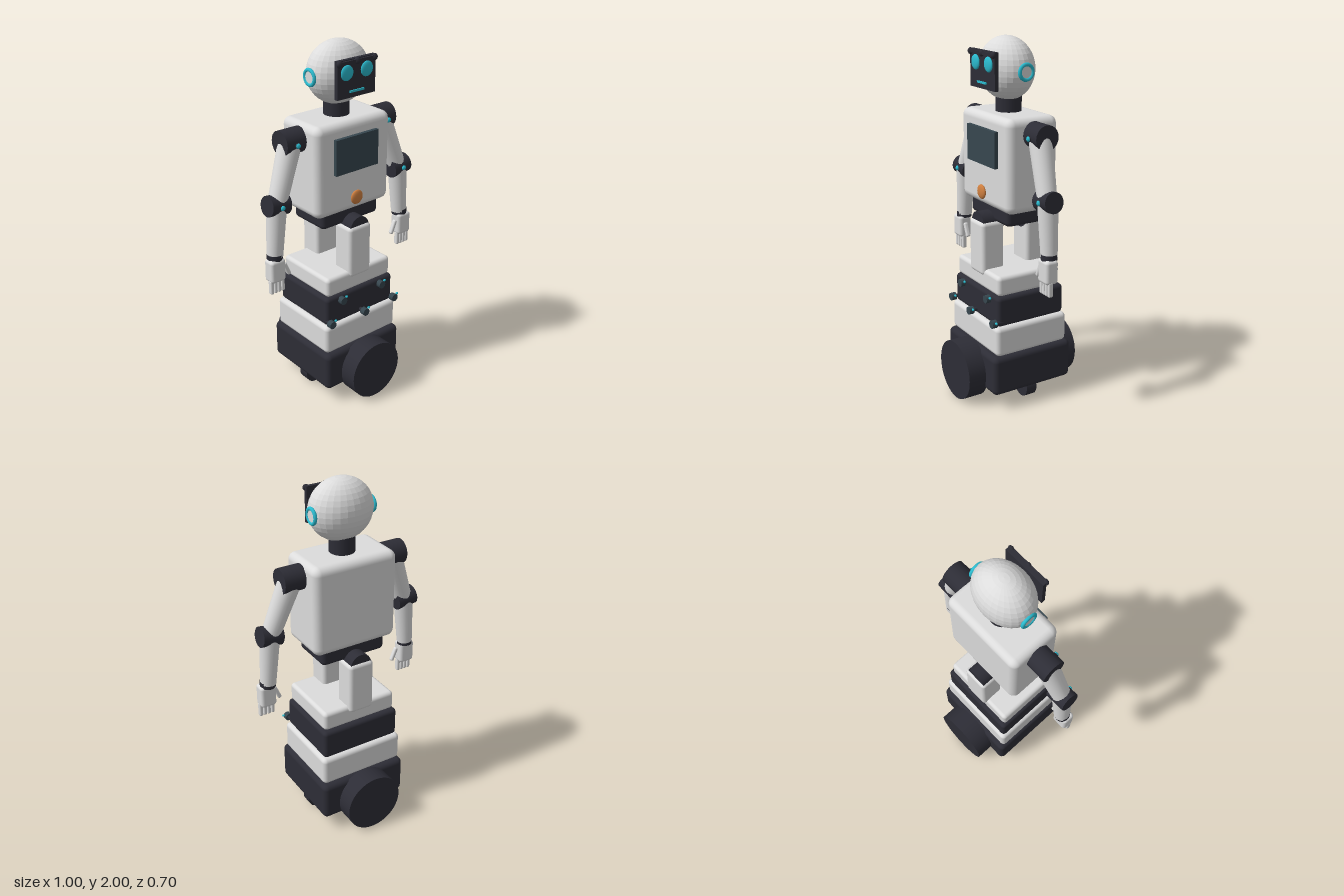
import * as THREE from 'three';
import { RoundedBoxGeometry } from 'three/addons/geometries/RoundedBoxGeometry.js';

const material = (name, color) => {
  const m = new THREE.MeshStandardMaterial({ color });
  m.name = name;
  return m;
};

export function createModel() {
  const shell = material('light shell', 0xdcdcdc);
  const dark = material('dark joint', 0x2d2d36);
  const cyan = material('cyan accent', 0x2bbcd0);
  const slate = material('slate glass', 0x37474f);
  const orange = material('orange button', 0xd08040);

  const robot = new THREE.Group();
  robot.name = 'robot';

  const add = (name, geometry, mat, x, y, z, parent = robot) => {
    const mesh = new THREE.Mesh(geometry, mat);
    mesh.name = name;
    mesh.position.set(x, y, z);
    parent.add(mesh);
    return mesh;
  };
  // Rounded box spanning y0..y1
  const block = (name, mat, w, y0, y1, d, r, x = 0, z = 0, parent = robot) =>
    add(name, new RoundedBoxGeometry(w, y1 - y0, d, 3, r), mat, x, (y0 + y1) / 2, z, parent);
  // Cylinder lying along x or z, or standing on y
  const drum = (name, mat, r, length, axis, x, y, z, parent = robot, sides = 24) => {
    const g = new THREE.CylinderGeometry(r, r, length, sides);
    if (axis === 'x') g.rotateZ(Math.PI / 2);
    if (axis === 'z') g.rotateX(Math.PI / 2);
    return add(name, g, mat, x, y, z, parent);
  };
  const ball = (name, mat, rx, ry, rz, x, y, z, parent = robot, w = 20, h = 14) =>
    add(name, new THREE.SphereGeometry(1, w, h).scale(rx, ry, rz), mat, x, y, z, parent);
  // Tapered limb between two points
  const limb = (name, mat, a, b, ra, rb, parent) => {
    const p = new THREE.Vector3(...a), q = new THREE.Vector3(...b);
    const dir = p.clone().sub(q);
    const mid = p.clone().add(q).multiplyScalar(0.5);
    const mesh = add(name, new THREE.CylinderGeometry(ra, rb, dir.length(), 20), mat, mid.x, mid.y, mid.z, parent);
    mesh.quaternion.setFromUnitVectors(new THREE.Vector3(0, 1, 0), dir.normalize());
    return mesh;
  };

  // Stacked base
  block('chassis', dark, 0.53, 0.09, 0.315, 0.5, 0.03);
  block('lowerTier', shell, 0.505, 0.315, 0.483, 0.45, 0.025);
  block('middleTier', dark, 0.475, 0.483, 0.652, 0.42, 0.022);
  block('upperTier', shell, 0.45, 0.652, 0.763, 0.39, 0.022, 0, 0.005);

  // Wheels in front and behind, casters at the sides
  for (const s of [-1, 1]) {
    drum('wheel', dark, 0.168, 0.113, 'z', 0, 0.172, s * 0.296, robot, 40);
    drum('caster', dark, 0.064, 0.064, 'z', s * 0.183, 0.072, 0);
  }

  // Sensors on the front of the tiers
  const sensors = [[-0.14, 0.622, 0.222], [0.14, 0.622, 0.222], [-0.228, 0.51, 0.235], [0, 0.51, 0.248], [0.228, 0.51, 0.235]];
  for (const [x, y, z] of sensors) {
    drum('sensor', slate, 0.022, 0.03, 'z', x, y, z, robot, 12);
    drum('sensorStem', dark, 0.011, 0.06, 'z', x, y, z - 0.03, robot, 10);
    ball('sensorLight', cyan, 0.009, 0.007, 0.007, x + 0.029, y + 0.013, z, robot, 10, 8);
  }

  // Legs, one ahead of the other, with hip axles
  for (const s of [-1, 1]) {
    block('leg', shell, 0.15, 0.725, 1.025, 0.135, 0.022, 0, s * 0.141);
    drum('hipAxle', dark, 0.064, 0.125, 'z', 0, 1.01, s * 0.133);
  }
  block('hips', dark, 0.39, 1.02, 1.14, 0.25, 0.025);

  // Torso with screen and button
  block('torso', shell, 0.5, 1.1, 1.605, 0.306, 0.042);
  add('screen', new THREE.BoxGeometry(0.285, 0.195, 0.022), slate, 0, 1.433, 0.163);
  ball('button', orange, 0.04, 0.04, 0.014, 0, 1.182, 0.17);
  drum('neck', dark, 0.07, 0.13, 'y', 0, 1.645, 0);

  // Faceted egg-shaped head
  const skull = new THREE.SphereGeometry(1, 28, 18).scale(0.18, 0.168, 0.137).toNonIndexed();
  skull.computeVertexNormals();
  add('head', skull, shell, 0, 1.832, 0.012);

  // Face panel
  add('facePanel', new THREE.BoxGeometry(0.25, 0.197, 0.022), dark, 0, 1.832, 0.148);
  add('browBar', new THREE.BoxGeometry(0.24, 0.016, 0.014), dark, 0, 1.918, 0.163);
  for (const x of [-0.115, 0, 0.115]) ball('browBolt', dark, 0.018, 0.018, 0.013, x, 1.917, 0.163, robot, 12, 8);
  for (const s of [-1, 1]) {
    ball('eye', cyan, 0.04, 0.04, 0.012, s * 0.065, 1.865, 0.161);
    const ring = new THREE.TorusGeometry(0.039, 0.01, 10, 24).rotateY(Math.PI / 2);
    add('earRing', ring, cyan, s * 0.176, 1.828, 0.003);
    drum('earCap', shell, 0.035, 0.02, 'x', s * 0.17, 1.828, 0.003);
  }
  add('mouth', new THREE.BoxGeometry(0.092, 0.011, 0.008), cyan, 0, 1.766, 0.162);

  // Arms, built on one side and mirrored by sign
  for (const s of [-1, 1]) {
    const arm = new THREE.Group();
    arm.name = s > 0 ? 'leftArm' : 'rightArm';
    robot.add(arm);
    drum('shoulder', dark, 0.068, 0.125, 'x', s * 0.307, 1.52, 0, arm);
    limb('upperArm', shell, [s * 0.312, 1.5, 0.003], [s * 0.42, 1.21, 0.03], 0.062, 0.051, arm);
    const elbow = drum('elbow', dark, 0.056, 0.118, 'x', s * 0.423, 1.21, 0.03, arm);
    elbow.rotation.z = s * 0.12;
    limb('forearm', shell, [s * 0.423, 1.21, 0.03], [s * 0.445, 0.925, 0.032], 0.055, 0.044, arm);
    drum('wrist', dark, 0.043, 0.035, 'y', s * 0.447, 0.922, 0.034, arm);

    // Joint bolts
    for (const [x, y, z] of [[0.308, 1.515, 0.068], [0.423, 1.21, 0.08]]) {
      drum('boltSeat', dark, 0.014, 0.02, 'z', s * x, y, z - 0.004, arm, 12);
      ball('jointBolt', cyan, 0.014, 0.014, 0.01, s * x, y, z + 0.006, arm, 12, 8);
    }

    // Hand
    block('palm', shell, 0.092, 0.785, 0.915, 0.074, 0.018, s * 0.453, 0.043, arm);
    for (let i = 0; i < 4; i++) {
      block('finger', shell, 0.021, 0.718, 0.8, 0.028, 0.008, s * (0.418 + i * 0.0235), 0.052, arm);
    }
    const thumb = block('thumb', shell, 0.022, 0.795, 0.88, 0.026, 0.009, s * 0.386, 0.05, arm);
    thumb.rotation.z = -s * -0.4 * -1;
  }

  return robot;
}
